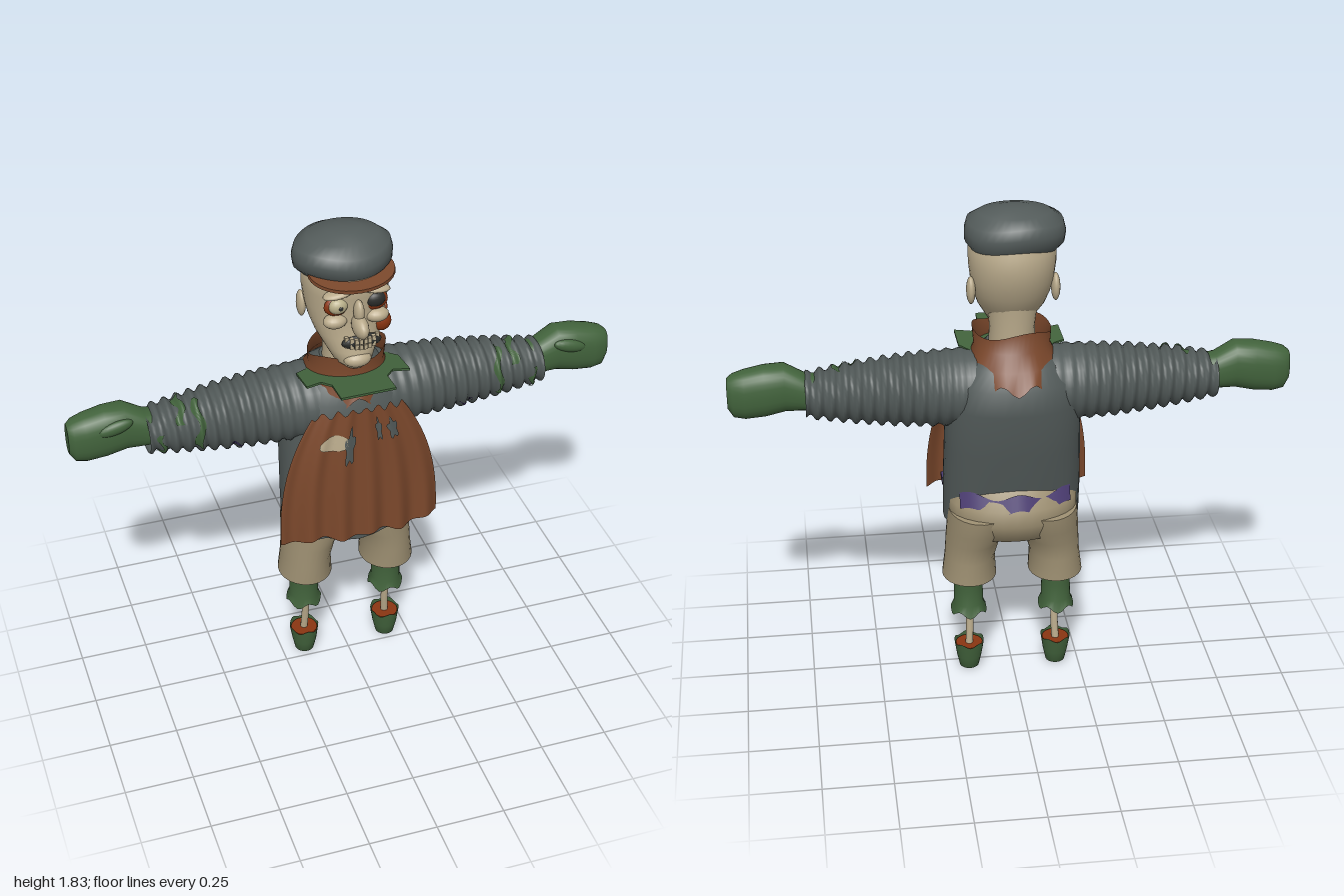
import * as THREE from 'three';
import { ParametricGeometry } from 'three/addons/geometries/ParametricGeometry.js';

const mat = (name, color) => new THREE.MeshStandardMaterial({ name, color, side: THREE.DoubleSide });

// Oval cross-sections [y, centreX, halfWidth, zFront, zBack] joined into a closed skin
function loft(rings, { n = 28, top = true, bottom = true, pow = 1, warp } = {}) {
  const pos = [], idx = [];
  const sp = v => Math.sign(v) * Math.abs(v) ** pow;
  const ringPoint = (i, j) => {
    const [y, cx, rx, zf, zb] = rings[i], t = (j / n) * Math.PI * 2;
    const p = new THREE.Vector3(cx + rx * sp(Math.cos(t)), y, (zf + zb) / 2 + (zf - zb) / 2 * sp(Math.sin(t)));
    if (warp) warp(p, t, i);
    return p;
  };
  const addRing = i => { for (let j = 0; j < n; j++) pos.push(...ringPoint(i, j).toArray()); };
  rings.forEach((r, i) => addRing(i));
  for (let i = 0; i < rings.length - 1; i++) for (let j = 0; j < n; j++) {
    const a = i * n + j, b = i * n + (j + 1) % n;
    idx.push(a, a + n, b, b, a + n, b + n);
  }
  const cap = (i, up) => {
    const s = pos.length / 3, [y, cx, , zf, zb] = rings[i];
    addRing(i);
    pos.push(cx, y, (zf + zb) / 2);
    for (let j = 0; j < n; j++) {
      const a = s + j, b = s + (j + 1) % n;
      idx.push(...(up ? [b, a, s + n] : [a, b, s + n]));
    }
  };
  if (bottom) cap(0, false);
  if (top) cap(rings.length - 1, true);
  const g = new THREE.BufferGeometry();
  g.setAttribute('position', new THREE.Float32BufferAttribute(pos, 3));
  g.setIndex(idx);
  g.computeVertexNormals();
  return g;
}

const sheet = (fn, nu, nv) => new ParametricGeometry((u, v, p) => p.copy(fn(u, v)), nu, nv);
const V = (x, y, z) => new THREE.Vector3(x, y, z);

export function createModel() {
  const root = new THREE.Group();
  root.name = 'scarecrow';
  const grey = mat('grey cloth', 0x535b5a), brown = mat('brown leather', 0x7a472b), green = mat('green cloth', 0x42633c);
  const skin = mat('pale skin', 0xbaab8c), tan = mat('tan trousers', 0xa09274), purple = mat('purple lining', 0x4c3d73);
  const red = mat('raw red', 0x8a3512), dark = mat('dark', 0x2b2d2b), eyeMat = mat('eye', 0xb9b08a);

  const add = (name, geo, material, x = 0, y = 0, z = 0) => {
    const m = new THREE.Mesh(geo, material);
    m.name = name;
    m.position.set(x, y, z);
    root.add(m);
    return m;
  };
  const blob = (name, material, x, y, z, sx, sy, sz) =>
    add(name, new THREE.SphereGeometry(1, 18, 12).scale(sx, sy, sz), material, x, y, z);

  // Coat body, hem raised at the back
  add('coat', loft([
    [0.65, 0, 0.25, 0.135, -0.13], [0.78, 0, 0.25, 0.135, -0.165], [0.95, 0, 0.245, 0.13, -0.2],
    [1.13, 0, 0.24, 0.13, -0.235], [1.22, 0, 0.215, 0.115, -0.225], [1.28, 0, 0.165, 0.085, -0.185], [1.34, 0, 0.09, 0.05, -0.12],
  ], {
    n: 40, bottom: false, pow: 0.85,
    warp: (p, t, i) => {
      if (i === 0) {
        p.y += 0.012 * Math.sin(t * 7);
        if (Math.sin(t) < -0.6) { p.y = 0.75 + 0.01 * Math.sin(t * 9); p.z -= 0.025; }
      }
    },
  }), grey);

  // Purple lining peeking out under the back hem
  add('liningBack', sheet((u, v) => {
    const a = (u - 0.5) * 2;
    return V(-0.2 * a, 0.735 + 0.055 * v + 0.012 * Math.sin(u * 15), -0.21 + 0.07 * a * a + 0.02 * v);
  }, 24, 3), purple);
  for (const s of [-1, 1])
    add('liningSide', new THREE.BoxGeometry(0.008, 0.022, 0.065), purple, s * 0.243, 0.752, 0.07);

  // Pleated apron with patch and tears that follow its surface
  const apron = (u, v) => {
    const a = u * 2 - 1, w = 0.3 - 0.13 * v ** 2.5;
    const y = 0.69 + 0.53 * v - 0.03 * v * a * a + (1 - v) * 0.008 * Math.sin(a * 9) + (v > 0.97 ? 0.012 * Math.sin(a * 22) : 0);
    return V(a * w, y, 0.18 - 0.05 * a * a - 0.02 * v + 0.013 * Math.sin(a * 17) * (1 - 0.65 * v));
  };
  add('apron', sheet(apron, 72, 30), brown);
  const onApron = (name, material, u0, v0, ru, rv, wobble = 0) => add(name, sheet((u, v) => {
    const t = u * Math.PI * 2, r = (1 - v) * (1 + wobble * Math.sin(t * 5));
    return apron(u0 + ru * r * Math.cos(t), v0 + rv * r * Math.sin(t)).add(V(0, 0, 0.005));
  }, 28, 5), material);
  onApron('apronPatch', skin, 0.28, 0.78, 0.115, 0.062);
  onApron('apronTear', grey, 0.4, 0.74, 0.04, 0.13, 0.25);
  onApron('apronTear', grey, 0.76, 0.83, 0.045, 0.075, 0.25);
  onApron('apronTear', grey, 0.64, 0.83, 0.025, 0.085, 0.25);

  // Wrinkled sleeves and mitten hands
  const sleeve = (s, x, t, out = 0) => {
    const k = (x - 0.12) / 0.61, f = 0.009 * Math.sin(x * 140 + Math.sin(t) * 1.2) * Math.min(1, k * 2.5) + out;
    return V(s * x, 1.175 - 0.005 * k + (0.137 - 0.062 * k * k + f) * Math.sin(s * t),
      -0.045 + 0.01 * k + (0.142 - 0.057 * k + f) * Math.cos(t));
  };
  for (const s of [-1, 1]) {
    const side = s > 0 ? 'left' : 'right';
    add(side + 'Sleeve', sheet((u, v) => sleeve(s, 0.12 + 0.61 * u, v * Math.PI * 2), 90, 28), grey);
    const sleevePatch = (name, material, x0, x1, t0, t1) => add(name, sheet((u, v) => {
      const t = t0 + (t1 - t0) * (s > 0 ? v : 1 - v);
      return sleeve(s, x0 + (x1 - x0) * u + 0.01 * Math.sin(v * 9), s * t, 0.004);
    }, 10, 14), material);
    sleevePatch(side + 'SleeveTear', green, 0.54, 0.565, -0.5, 1.3);
    sleevePatch(side + 'SleeveTear', green, 0.6, 0.625, 0.5, 1.8);
    sleevePatch(side + 'SleeveTear', green, 0.68, 0.695, -0.9, 0.3);
    sleevePatch(side + 'SleeveLining', purple, 0.41, 0.445, -0.65, -0.5);

    const hand = [
      [0.68, 1.18, 0.062, 0.02, -0.09], [0.73, 1.185, 0.066, 0.022, -0.095], [0.8, 1.207, 0.086, 0.028, -0.104],
      [0.87, 1.197, 0.092, 0.03, -0.106], [0.94, 1.186, 0.088, 0.026, -0.1], [0.98, 1.183, 0.078, 0.018, -0.09], [1, 1.19, 0.055, 0, -0.07],
    ].map(([h, c, r, f, b]) => [h, -s * c, r, f, b]);
    add(side + 'Mitten', loft(hand, { pow: 0.8 }).rotateZ(-s * Math.PI / 2), green);
    blob(side + 'Thumb', green, s * 0.84, 1.235, 0.018, 0.065, 0.025, 0.02).rotation.z = -s * 0.25;
  }

  // Trousers
  add('hips', loft([
    [0.575, 0, 0.1, 0.02, -0.12], [0.61, 0, 0.2, 0.08, -0.185], [0.68, 0, 0.235, 0.1, -0.215],
    [0.74, 0, 0.235, 0.11, -0.21], [0.82, 0, 0.22, 0.11, -0.165],
  ]), tan);
  for (const s of [-1, 1]) {
    const side = s > 0 ? 'left' : 'right', x = s * 0.164, disc = () => new THREE.CylinderGeometry(0.05, 0.05, 0.006, 20);
    add(side + 'TrouserLeg', loft([
      [0.415, s * 0.16, 0.1, 0.075, -0.155], [0.5, s * 0.157, 0.092, 0.08, -0.155], [0.57, s * 0.145, 0.1, 0.085, -0.165],
      [0.63, s * 0.128, 0.113, 0.095, -0.195], [0.7, s * 0.12, 0.115, 0.1, -0.21],
    ]), tan);
    // Torn boot top, bare bone and boot toe
    add(side + 'BootShaft', loft([
      [0.262, x, 0.066, 0.022, -0.118], [0.295, x, 0.055, 0.014, -0.104], [0.36, x, 0.053, 0.014, -0.1], [0.42, x, 0.055, 0.022, -0.105],
    ], { bottom: false, warp: (p, t, i) => { if (i === 0) p.y += 0.012 * Math.sin(t * 5); } }), green);
    add(side + 'LegWound', disc(), red, x, 0.278, -0.047);
    const bone = new THREE.CatmullRomCurve3([V(x, 0.29, -0.03), V(x - s * 0.004, 0.2, -0.04), V(x, 0.1, -0.052)]);
    add(side + 'Bone', new THREE.TubeGeometry(bone, 8, 0.014, 10), skin);
    add(side + 'Foot', loft([
      [0.004, x, 0.02, -0.027, -0.067], [0.014, x, 0.036, -0.01, -0.084], [0.06, x, 0.046, 0.002, -0.096], [0.12, x, 0.055, 0.01, -0.106],
    ], { top: false, warp: (p, t, i) => { if (i === 3) p.y += 0.006 * Math.sin(t * 5); } }), green);
    add(side + 'FootWound', disc(), red, x, 0.108, -0.048);
  }

  // Ragged cowl and green collar
  add('cowl', loft([
    [1.225, 0, 0.165, 0.122, -0.237], [1.28, 0, 0.16, 0.1, -0.195], [1.33, 0, 0.135, 0.088, -0.148], [1.388, 0, 0.14, 0.092, -0.135],
  ], {
    n: 48, top: false, bottom: false,
    warp: (p, t, i) => { if (i === 0) p.y += 0.02 * Math.sin(t * 9); if (i === 3) p.y += 0.012 * Math.sin(t * 3 + 1); },
  }), brown);
  const rag = new THREE.Shape([
    [-0.1, 0.232], [0.1, 0.225], [0.1, 0.13], [0.13, 0.095], [0.19, 0.11], [0.185, 0.0], [0.15, -0.04], [0.1, -0.1],
    [-0.1, -0.1], [-0.15, -0.02], [-0.19, 0.0], [-0.185, 0.11], [-0.13, 0.095], [-0.1, 0.13],
  ].map(([x, y]) => new THREE.Vector2(x, y)));
  rag.holes.push(new THREE.Path().absellipse(0, -0.005, 0.09, 0.08, 0, Math.PI * 2));
  add('greenCollar', new THREE.ExtrudeGeometry(rag, { depth: 0.008, bevelEnabled: false }).rotateX(Math.PI / 2), green, 0, 1.315, 0)
    .rotation.x = -0.1;

  // Head and neck
  add('neck', loft([[1.28, 0, 0.085, 0.05, -0.12], [1.4, 0, 0.08, 0.05, -0.12], [1.5, 0, 0.09, 0.04, -0.13]]), skin);
  add('head', loft([
    [1.362, 0, 0.04, 0.105, 0.0], [1.385, 0, 0.068, 0.125, -0.04], [1.43, 0, 0.092, 0.118, -0.08], [1.48, 0, 0.118, 0.105, -0.125],
    [1.53, 0, 0.135, 0.1, -0.15], [1.58, 0, 0.145, 0.1, -0.172], [1.64, 0, 0.152, 0.108, -0.185],
    [1.69, 0, 0.153, 0.11, -0.18], [1.74, 0, 0.14, 0.09, -0.165],
  ], { n: 36 }), skin);
  blob('nose', skin, 0, 1.545, 0.13, 0.027, 0.04, 0.056);
  blob('noseBridge', skin, 0, 1.595, 0.115, 0.018, 0.045, 0.028);
  blob('chin', skin, 0, 1.4, 0.1, 0.05, 0.03, 0.034);
  for (const s of [-1, 1]) {
    blob('cheek', skin, s * 0.075, 1.555, 0.085, 0.042, 0.026, 0.032);
    blob('brow', skin, s * 0.065, 1.663, 0.09, 0.055, 0.014, 0.03).rotation.z = -s * 0.15;
    blob('eyeSocket', red, s * 0.067, 1.612, 0.082, 0.047, 0.037, 0.02);
    blob('ear', skin, s * 0.147, 1.55, -0.075, 0.016, 0.05, 0.03);
  }
  blob('rightEye', eyeMat, -0.067, 1.617, 0.092, 0.034, 0.03, 0.025);
  blob('rightPupil', dark, -0.063, 1.617, 0.115, 0.008, 0.008, 0.004);
  blob('leftEye', dark, 0.067, 1.62, 0.09, 0.036, 0.029, 0.022);
  blob('cheekWound', red, 0.1, 1.512, 0.062, 0.034, 0.038, 0.026);
  blob('earWound', red, 0.136, 1.52, -0.02, 0.01, 0.025, 0.025);
  // Grinning mouth with two rows of teeth
  blob('mouth', dark, 0.015, 1.468, 0.1, 0.072, 0.028, 0.022);
  for (let i = 0; i < 8; i++) for (const r of [0, 1]) {
    const a = (i - 3.5) / 3.5;
    add('tooth', new THREE.BoxGeometry(0.013, 0.018, 0.012), skin, 0.015 + a * 0.055, 1.457 + r * 0.022 + 0.006 * a * a, 0.121 - 0.018 * a * a);
  }

  // Flat cap
  add('cap', loft([
    [1.695, -0.005, 0.15, 0.085, -0.165], [1.72, -0.008, 0.172, 0.105, -0.183], [1.755, -0.01, 0.175, 0.112, -0.19], [1.79, -0.01, 0.166, 0.1, -0.18],
    [1.82, -0.008, 0.125, 0.06, -0.14], [1.836, -0.005, 0.06, 0, -0.085], [1.838, 0, 0.01, -0.03, -0.05],
  ], { n: 36, warp: (p, t, i) => { if (i < 4) p.y += 0.007 * Math.sin(t * 3 + 0.6); } }), grey);
  add('capBrim', new THREE.CylinderGeometry(0.15, 0.152, 0.012, 32).scale(1, 1, 0.78), brown, 0, 1.713, 0.035).rotation.x = 0.16;
  return root;
}
